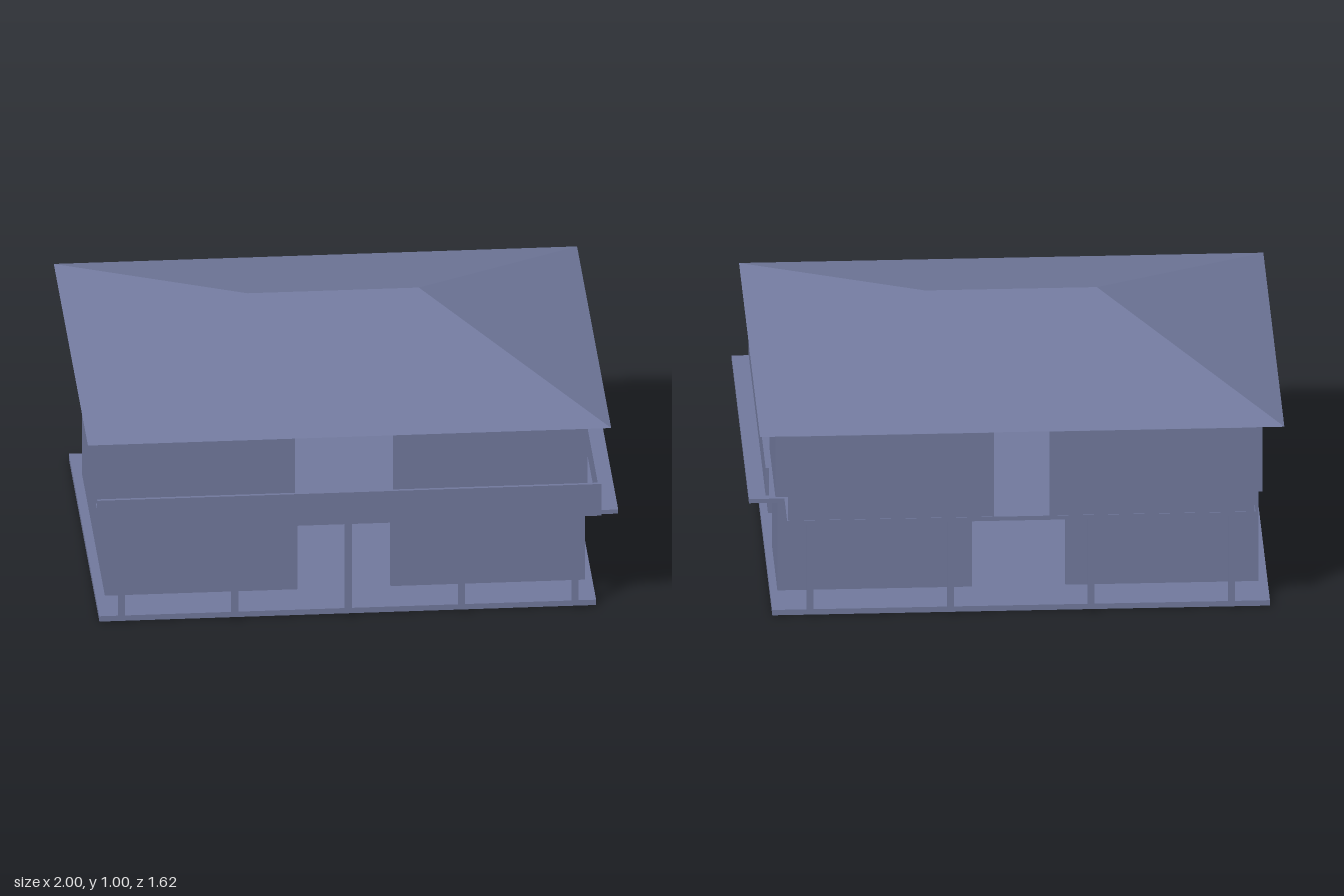
import * as THREE from 'three';

const slateBlue = new THREE.MeshStandardMaterial({ color: 0x727a9e });

function add(parent, name, geometry) {
  const mesh = new THREE.Mesh(geometry, slateBlue);
  mesh.name = name;
  parent.add(mesh);
  return mesh;
}

// Box given by its limits on each axis
function block(parent, name, [x0, x1], [y0, y1], [z0, z1]) {
  const mesh = add(parent, name, new THREE.BoxGeometry(x1 - x0, y1 - y0, z1 - z0));
  mesh.position.set((x0 + x1) / 2, (y0 + y1) / 2, (z0 + z1) / 2);
}

// Four thin walls: full-height openings in front, back and left, solid on the right
function storey(name, [x0, x1], y, depth, doorX, doorZ) {
  const t = 0.02;
  const group = new THREE.Group();
  group.name = name;
  for (const side of [1, -1]) {
    const z = side > 0 ? [depth - t, depth] : [-depth, -depth + t];
    const label = side > 0 ? 'frontWall' : 'backWall';
    block(group, label, [x0, doorX[0]], y, z);
    block(group, label, [doorX[1], x1], y, z);
  }
  block(group, 'rightWall', [x0, x0 + t], y, [-depth + t, depth - t]);
  block(group, 'leftWall', [x1 - t, x1], y, [-depth + t, doorZ[0]]);
  block(group, 'leftWall', [x1 - t, x1], y, [doorZ[1], depth - t]);
  return group;
}

// Hipped roof with a short ridge and a flat underside
function hipRoof() {
  const a = [-1, 0.77, 0.81], b = [0.97, 0.77, 0.81];
  const c = [0.97, 0.77, -0.81], d = [-1, 0.77, -0.81];
  const r = [-0.335, 1, 0], s = [0.31, 1, 0];
  const faces = [a, b, s, a, s, r, b, c, s, c, d, r, c, r, s, d, a, r, a, d, c, a, c, b];
  const geometry = new THREE.BufferGeometry();
  geometry.setAttribute('position', new THREE.Float32BufferAttribute(faces.flat(), 3));
  geometry.computeVertexNormals();
  return geometry;
}

export function createModel() {
  const house = new THREE.Group();
  house.name = 'house';

  block(house, 'baseSlab', [-0.95, 0.92], [0, 0.022], [-0.725, 0.725]);
  house.add(storey('groundFloor', [-0.915, 0.892], [0.022, 0.394], 0.544, [-0.19, 0.16], [-0.128, 0.178]));
  house.add(storey('upperFloor', [-0.93, 0.9], [0.411, 0.77], 0.557, [-0.2, 0.17], [-0.094, 0.143]));

  // Upper floor slab with the balconies
  const outline = [
    [-0.95, 0.765], [1, 0.765], [1, -0.572], [0.867, -0.572], [0.867, -0.78],
    [-0.893, -0.78], [-0.893, -0.557], [-0.93, -0.557], [-0.93, 0.557], [-0.95, 0.557],
  ].map(([x, z]) => new THREE.Vector2(x, -z));
  const slab = new THREE.ExtrudeGeometry(new THREE.Shape(outline), { depth: 0.017, bevelEnabled: false });
  slab.rotateX(-Math.PI / 2);
  add(house, 'balconySlab', slab).position.y = 0.394;

  // Balcony parapet along the front and the left side
  block(house, 'frontParapet', [-0.962, 0.936], [0.394, 0.525], [0.765, 0.778]);
  block(house, 'leftParapet', [0.923, 0.936], [0.394, 0.525], [-0.543, 0.765]);

  // Tall screens on the back balcony
  for (const x of [[-0.89, -0.12], [0.09, 0.863]]) {
    block(house, 'backScreen', x, [0.411, 0.755], [-0.778, -0.768]);
  }

  // Columns under the balconies
  const column = (x, z) =>
    block(house, 'column', [x - 0.0125, x + 0.0125], [0.022, 0.394], [z - 0.0125, z + 0.0125]);
  for (let i = 0; i < 5; i++) column(-0.869 + i * 0.427, 0.745);
  for (let i = 0; i < 4; i++) column(-0.805 + i * 0.528, -0.745);

  add(house, 'roof', hipRoof());
  return house;
}
